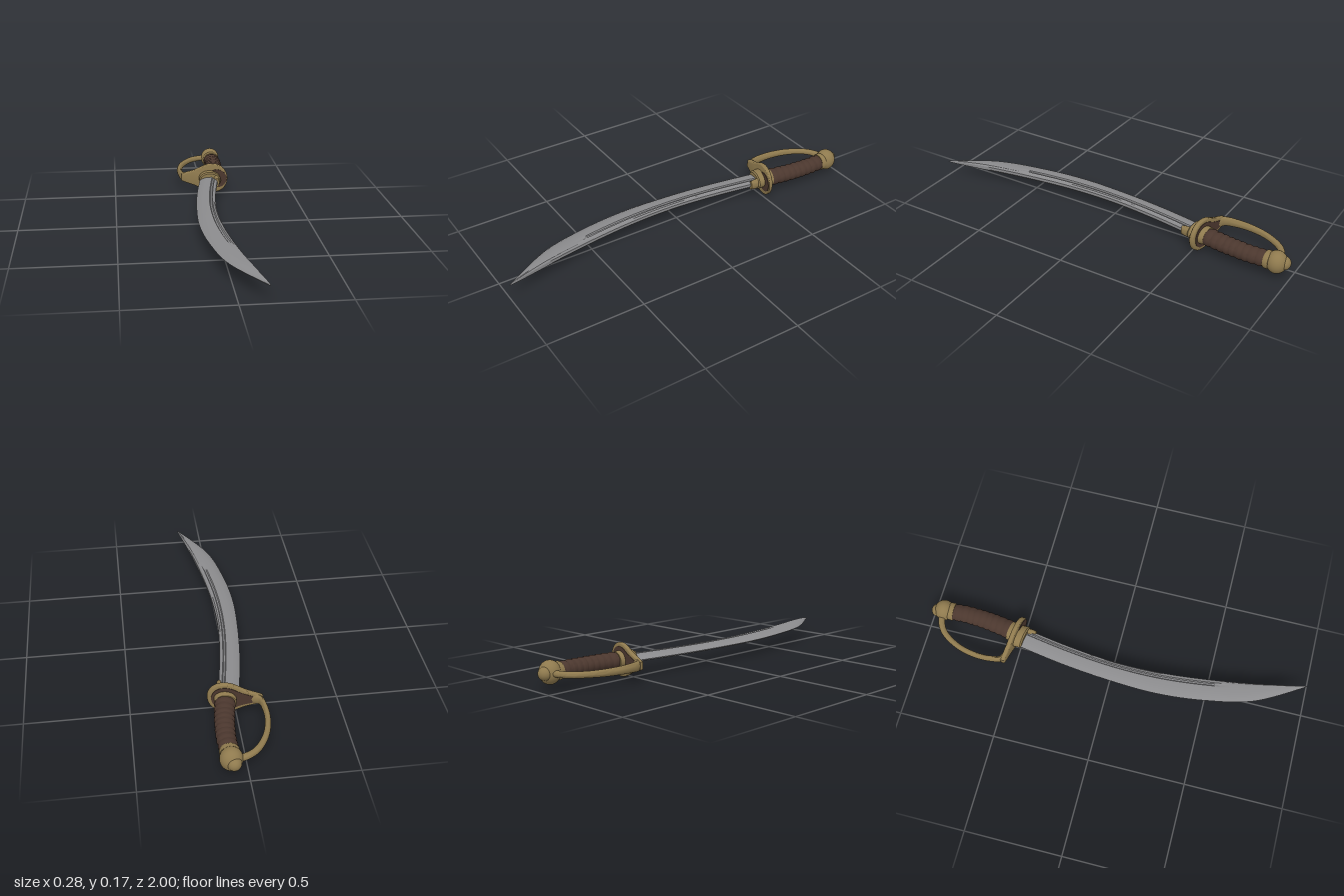
import * as THREE from 'three';
import { toCreasedNormals } from 'three/addons/utils/BufferGeometryUtils.js';

const Y = 0.083; // height of the sword's middle plane
const mat = (name, color) => Object.assign(new THREE.MeshStandardMaterial({ color }), { name });
const V = (x, y, z) => new THREE.Vector3(x, y, z);

// Skin a list of closed rings, cap both ends, and make faces point outwards
function loft(rings, crease = 0.7) {
  const n = rings[0].length, pts = rings.flat(), tris = [];
  for (let i = 0; i < rings.length - 1; i++)
    for (let j = 0; j < n; j++) {
      const a = i * n + j, b = i * n + (j + 1) % n;
      tris.push([a, b, b + n], [a, b + n, a + n]);
    }
  [rings[0], rings[rings.length - 1]].forEach((ring, end) => {
    const c = pts.length, base = end * (rings.length - 1) * n;
    pts.push(ring.reduce((s, p) => s.add(p), V(0, 0, 0)).divideScalar(n));
    for (let j = 0; j < n; j++) {
      const a = base + j, b = base + (j + 1) % n;
      tris.push(end ? [a, b, c] : [b, a, c]);
    }
  });
  const volume = tris.reduce((s, [a, b, c]) => s + pts[a].dot(pts[b].clone().cross(pts[c])), 0);
  const geo = new THREE.BufferGeometry().setFromPoints(pts);
  geo.setIndex(tris.flatMap(([a, b, c]) => (volume < 0 ? [a, c, b] : [a, b, c])));
  return toCreasedNormals(geo, crease);
}

// Ellipse spanned by a direction in the xz plane (radius a) and y (radius b)
function ellipse(x, z, dx, dz, a, b, n = 28) {
  return Array.from({ length: n }, (_, i) => {
    const t = (i / n) * Math.PI * 2, u = Math.cos(t) * a;
    return V(x + dx * u, Y + Math.sin(t) * b, z + dz * u);
  });
}

// Blade: sharp outer edge, fuller near the bevelled spine
function bladeGeometry() {
  const line = (xs) => new THREE.SplineCurve(xs.map((x, i) => new THREE.Vector2(x, -0.5 + i * 0.25)));
  const edge = line([-0.022, -0.062, -0.087, -0.096, -0.071, -0.01, 0.135]);
  const spine = line([0.08, 0.04, 0.015, 0.017, 0.042, 0.082, 0.135]);
  const section = [[0.15, 0.5], [0.35, 0.8], [0.6, 0.95], [0.68, 0.97], [0.72, 0.65], [0.8, 0.65], [0.84, 1], [0.93, 0.85], [1, 0.4]];
  const rings = [];
  for (let i = 0; i <= 60; i++) {
    const t = Math.min(i / 60, 0.9985);
    const e = edge.getPoint(t), s = spine.getPoint(t);
    const half = 0.0195 * Math.pow(Math.min(1, (1 - t) / 0.14), 0.6);
    const fade = THREE.MathUtils.smoothstep(e.y, 0.45, 0.62);
    const side = section.map(([u, h]) => [e.x + (s.x - e.x) * u, half * (h < 0.7 && u > 0.7 && u < 0.82 ? h + (0.98 - h) * fade : h)]);
    rings.push([
      V(e.x, Y, e.y),
      ...side.map(([x, h]) => V(x, Y + h, e.y)),
      ...side.reverse().map(([x, h]) => V(x, Y - h, e.y)),
    ]);
  }
  return loft(rings, 0.45);
}

// Grip: curved oval handle with rounded wrap ridges
function gripGeometry() {
  const path = new THREE.CatmullRomCurve3([
    V(0.048, Y, -0.53), V(0.066, Y, -0.63), V(0.077, Y, -0.72), V(0.082, Y, -0.81), V(0.077, Y, -0.91)]);
  const rings = [];
  for (let i = 0; i <= 88; i++) {
    const t = i / 88, p = path.getPoint(t), d = path.getTangent(t);
    const ridge = 0.004 * Math.abs(Math.sin(t * Math.PI * 11));
    rings.push(ellipse(p.x, p.z, -d.z, d.x, 0.047 - 0.006 * t + ridge, 0.039 - 0.002 * t + ridge));
  }
  return loft(rings, 0.9);
}

// Knuckle bow: flattened strap from guard to pommel, wider at the guard
function bowGeometry() {
  const path = new THREE.CatmullRomCurve3([
    V(-0.075, Y, -0.549), V(-0.112, Y, -0.57), V(-0.124, Y, -0.62), V(-0.125, Y, -0.7), V(-0.1, Y, -0.805),
    V(-0.047, Y, -0.892), V(0.0, Y, -0.925), V(0.06, Y, -0.943)]);
  const rings = [];
  for (let i = 0; i <= 48; i++) {
    const t = i / 48, p = path.getPoint(t), d = path.getTangent(t);
    rings.push(ellipse(p.x, p.z, -d.z, d.x, 0.013 + 0.005 * t * t, 0.029 - 0.013 * Math.min(1, t * 1.6), 16));
  }
  return loft(rings);
}

// Slant a part so its left end sits further forward
const slant = (geo) => {
  const p = geo.attributes.position;
  for (let i = 0; i < p.count; i++) p.setZ(i, p.getZ(i) + 0.17 * (p.getX(i) - 0.05));
  geo.computeVertexNormals();
  return toCreasedNormals(geo, 0.6);
};

// Teardrop plate in the xy plane, scaled about the middle of its round end
function plateGeometry(scale, depth, bevel, z) {
  const half = [[-0.125, 0.019], [-0.1, 0.029], [-0.05, 0.046], [0, 0.071], [0.025, 0.08], [0.053, 0.083], [0.085, 0.077], [0.112, 0.058], [0.129, 0.03]];
  const outline = [...half, [0.134, 0], ...half.slice().reverse().map(([x, y]) => [x, -y])];
  const place = ([x, y]) => new THREE.Vector2(0.053 + (x - 0.053) * scale, y * scale);
  const pts = new THREE.SplineCurve(outline.map(place)).getPoints(72);
  const geo = new THREE.ExtrudeGeometry(new THREE.Shape(pts), {
    depth: depth - 2 * bevel, bevelEnabled: bevel > 0, bevelThickness: bevel, bevelSize: bevel, bevelOffset: -bevel, bevelSegments: 3,
  });
  return slant(geo.translate(0, Y, z + bevel));
}

export function createModel() {
  const steel = mat('steel', 0x8b8b8d);
  const brass = mat('brass', 0x8f7a4e);
  const leather = mat('brown leather', 0x4b372e);
  const group = new THREE.Group();
  group.name = 'sabre';
  const add = (name, geo, material) => {
    const mesh = new THREE.Mesh(geo, material);
    mesh.name = name;
    group.add(mesh);
    return mesh;
  };
  // Straight oval sleeve along z: profile is [z, radius x, radius y]
  const sleeve = (x, profile) => loft(profile.map(([z, a, b]) => ellipse(x, z, 1, 0, a, b)));

  add('blade', bladeGeometry(), steel);
  add('grip', gripGeometry(), leather);

  // Guard with leather linings on both faces
  add('guard', plateGeometry(1, 0.024, 0.007, -0.539), brass);
  add('rearLining', plateGeometry(0.78, 0.004, 0, -0.541), leather);
  const lining = slant(sleeve(0.075, [[-0.517, 0.054, 0.052], [-0.512, 0.054, 0.052]]));
  add('frontLining', lining, leather);

  // Collars on either side of the guard, and the tongue over the spine
  add('frontCollar', slant(sleeve(0.033, [[-0.525, 0.06, 0.045], [-0.48, 0.06, 0.045], [-0.473, 0.054, 0.038]])), brass);
  add('rearCollar', slant(sleeve(0.051, [[-0.567, 0.05, 0.042], [-0.53, 0.054, 0.046]])), brass);
  add('spineTongue', sleeve(0.067, [[-0.5, 0.018, 0.03], [-0.45, 0.016, 0.028], [-0.428, 0.012, 0.024]]), brass);

  add('knuckleBow', bowGeometry(), brass);

  // Pommel ball with its end button
  const pommel = add('pommel', new THREE.SphereGeometry(1, 32, 20), brass);
  pommel.scale.set(0.053, 0.057, 0.051);
  pommel.position.set(0.077, Y, -0.934);
  const button = add('pommelButton', new THREE.SphereGeometry(0.034, 24, 16), brass);
  button.position.set(0.068, Y, -0.966);
  add('pommelCollar', sleeve(0.079, [[-0.905, 0.046, 0.044], [-0.885, 0.047, 0.045], [-0.878, 0.044, 0.042]]), brass);
  return group;
}
